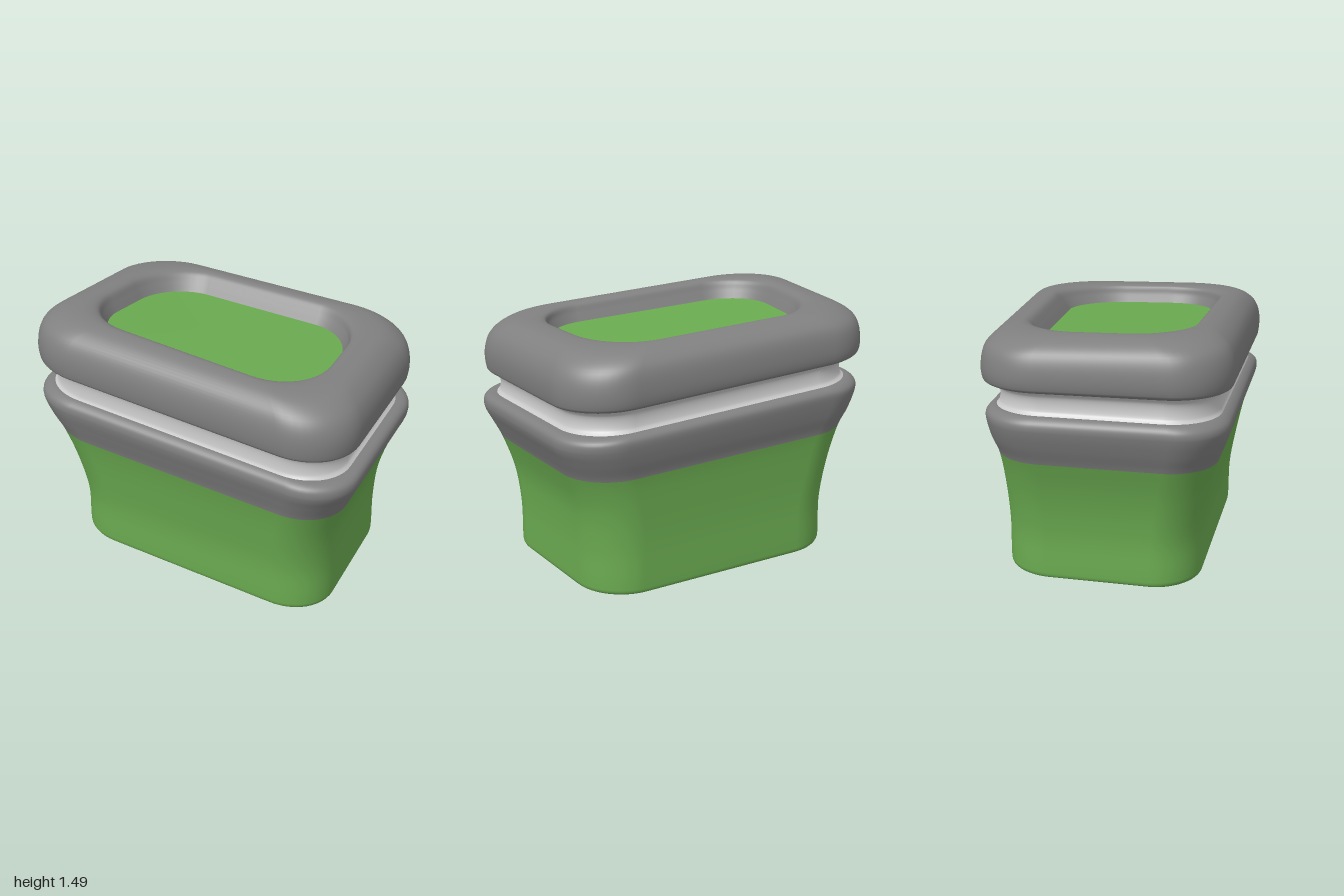
import * as THREE from 'three';

const ARC = 12, STEPS = 5, COUNT = 4 * (ARC + 1);

// One skewed, tilted rounded rectangle: heights at x = -1 and 1, extents, corner radii.
function ring([yL, yR, xL, xR, zB, zF, rx, rz]) {
  const points = [];
  const ru = (2 * rx) / (xR - xL), rv = (2 * rz) / (zF - zB);
  for (let q = 0; q < 4; q++) {
    const su = q === 0 || q === 3 ? 1 : -1, sv = q < 2 ? 1 : -1;
    for (let k = 0; k <= ARC; k++) {
      const a = (q + k / ARC) * Math.PI / 2;
      const s = (1 + su * (1 - ru) + ru * Math.cos(a)) / 2;
      const t = (1 + sv * (1 - rv) + rv * Math.sin(a)) / 2;
      const x = THREE.MathUtils.lerp(xL + 0.1 * (0.75 - t), xR - 0.05 * (0.75 - t), s);
      const z = THREE.MathUtils.lerp(zB + 0.03 * (s - 0.17), zF - 0.13 * (0.83 - s), t);
      const y = THREE.MathUtils.lerp(yL, yR, (x + 1) / 2);
      const lean = 0.03 * Math.max(0, (y - 1.1) / 0.35) * (1 - x) / 2;
      points.push(x, y + lean * z, z);
    }
  }
  return points;
}

// Smooth the profile between its key sections.
function refine(keys) {
  const knots = [0];
  for (let i = 1; i < keys.length; i++) {
    const a = keys[i - 1], b = keys[i];
    knots.push(knots[i - 1] + Math.hypot(b[0] - a[0], b[2] - a[2]));
  }
  const slope = (i, c) => {
    const a = Math.max(i - 1, 0), b = Math.min(i + 1, keys.length - 1);
    return (keys[b][c] - keys[a][c]) / (knots[b] - knots[a]);
  };
  const out = [];
  for (let i = 0; i < keys.length - 1; i++) {
    const h = knots[i + 1] - knots[i];
    for (let k = 0; k < STEPS; k++) {
      const t = k / STEPS, t2 = t * t, t3 = t2 * t;
      out.push(keys[i].map((p, c) =>
        (2 * t3 - 3 * t2 + 1) * p + (t3 - 2 * t2 + t) * h * slope(i, c) +
        (3 * t2 - 2 * t3) * keys[i + 1][c] + (t3 - t2) * h * slope(i + 1, c)));
    }
  }
  out.push(keys[keys.length - 1]);
  return out;
}

function bandIndex(from, to) {
  const index = [];
  for (let r = from; r < to; r++) {
    for (let i = 0; i < COUNT; i++) {
      const j = (i + 1) % COUNT;
      const a = r * COUNT + i, b = r * COUNT + j;
      index.push(a, a + COUNT, b, b, a + COUNT, b + COUNT);
    }
  }
  return index;
}

function loft(keys) {
  const rings = refine(keys);
  const geometry = new THREE.BufferGeometry();
  geometry.setAttribute('position', new THREE.Float32BufferAttribute(rings.flatMap(ring), 3));
  geometry.setIndex(bandIndex(0, rings.length - 1));
  geometry.computeVertexNormals();
  return geometry;
}

// Part of a loft between two key sections, sharing its smooth normals.
function slice(geometry, from, to) {
  const part = geometry.clone();
  part.setIndex(bandIndex(from * STEPS, to * STEPS));
  return part;
}

// Flat cover across one section.
function cover(key, up) {
  const points = ring(key);
  const centre = [0, 0, 0];
  points.forEach((p, i) => { centre[i % 3] += p / COUNT; });
  const index = [];
  for (let i = 0; i < COUNT; i++) {
    const j = (i + 1) % COUNT;
    index.push(COUNT, up ? j : i, up ? i : j);
  }
  const geometry = new THREE.BufferGeometry();
  geometry.setAttribute('position', new THREE.Float32BufferAttribute([...points, ...centre], 3));
  geometry.setIndex(index);
  geometry.computeVertexNormals();
  return geometry;
}

export function createModel() {
  const group = new THREE.Group();
  const green = new THREE.MeshStandardMaterial({ color: 0x6aaa50 });
  const darkGrey = new THREE.MeshStandardMaterial({ color: 0x808080 });
  const plain = new THREE.MeshStandardMaterial({ color: 0xcccccc });
  const add = (name, geometry, material) => {
    const mesh = new THREE.Mesh(geometry, material);
    mesh.name = name;
    group.add(mesh);
  };

  // Flaring tub with a rolled rim
  const tub = [
    [0.052, -0.006, -0.755, 0.805, -0.59, 0.53, 0.26, 0.26],
    [0.062, 0.004, -0.782, 0.832, -0.622, 0.552, 0.28, 0.28],
    [0.09, 0.03, -0.79, 0.84, -0.63, 0.56, 0.28, 0.28],
    [0.32, 0.26, -0.79, 0.84, -0.63, 0.565, 0.28, 0.28],
    [0.56, 0.48, -0.83, 0.86, -0.64, 0.6, 0.28, 0.28],
    [0.78, 0.68, -0.9, 0.92, -0.66, 0.645, 0.29, 0.29],
    [0.88, 0.78, -0.945, 0.965, -0.69, 0.68, 0.3, 0.3],
    [0.985, 0.86, -0.98, 1.0, -0.71, 0.71, 0.31, 0.31],
    [1.03, 0.91, -0.975, 1.0, -0.71, 0.705, 0.31, 0.31],
    [1.06, 0.935, -0.94, 0.97, -0.68, 0.67, 0.3, 0.3],
    [1.06, 0.935, -0.89, 0.9, -0.63, 0.62, 0.28, 0.28],
  ];
  const tubLoft = loft(tub);
  add('tubWall', slice(tubLoft, 0, 5), green);
  add('tubRim', slice(tubLoft, 5, tub.length - 1), darkGrey);
  add('tubBottom', cover(tub[0], false), plain);

  // Recessed neck between tub and lid
  add('neck', loft([
    [1.05, 0.925, -0.935, 0.945, -0.67, 0.665, 0.3, 0.3],
    [1.085, 0.96, -0.905, 0.915, -0.645, 0.65, 0.29, 0.29],
    [1.16, 1.03, -0.905, 0.915, -0.645, 0.65, 0.29, 0.29],
    [1.205, 1.075, -0.945, 0.95, -0.675, 0.67, 0.3, 0.3],
  ]), plain);

  // Cushioned lid frame, rolling over into the window recess
  const lid = [
    [1.195, 1.065, -0.89, 0.9, -0.63, 0.62, 0.28, 0.28],
    [1.2, 1.07, -0.96, 0.96, -0.69, 0.69, 0.32, 0.32],
    [1.225, 1.095, -0.995, 0.985, -0.725, 0.715, 0.34, 0.34],
    [1.33, 1.21, -1.0, 0.99, -0.73, 0.72, 0.35, 0.35],
    [1.42, 1.3, -0.97, 0.955, -0.705, 0.69, 0.34, 0.34],
    [1.475, 1.36, -0.9, 0.88, -0.64, 0.625, 0.33, 0.34],
    [1.5, 1.375, -0.8, 0.79, -0.56, 0.55, 0.33, 0.36],
    [1.49, 1.365, -0.74, 0.72, -0.515, 0.5, 0.33, 0.38],
    [1.44, 1.32, -0.71, 0.7, -0.475, 0.475, 0.31, 0.35],
    [1.39, 1.27, -0.685, 0.675, -0.44, 0.45, 0.29, 0.32],
  ];
  add('lidFrame', loft(lid), darkGrey);
  add('lidPanel', cover(lid[lid.length - 1], true), green);

  return group;
}
